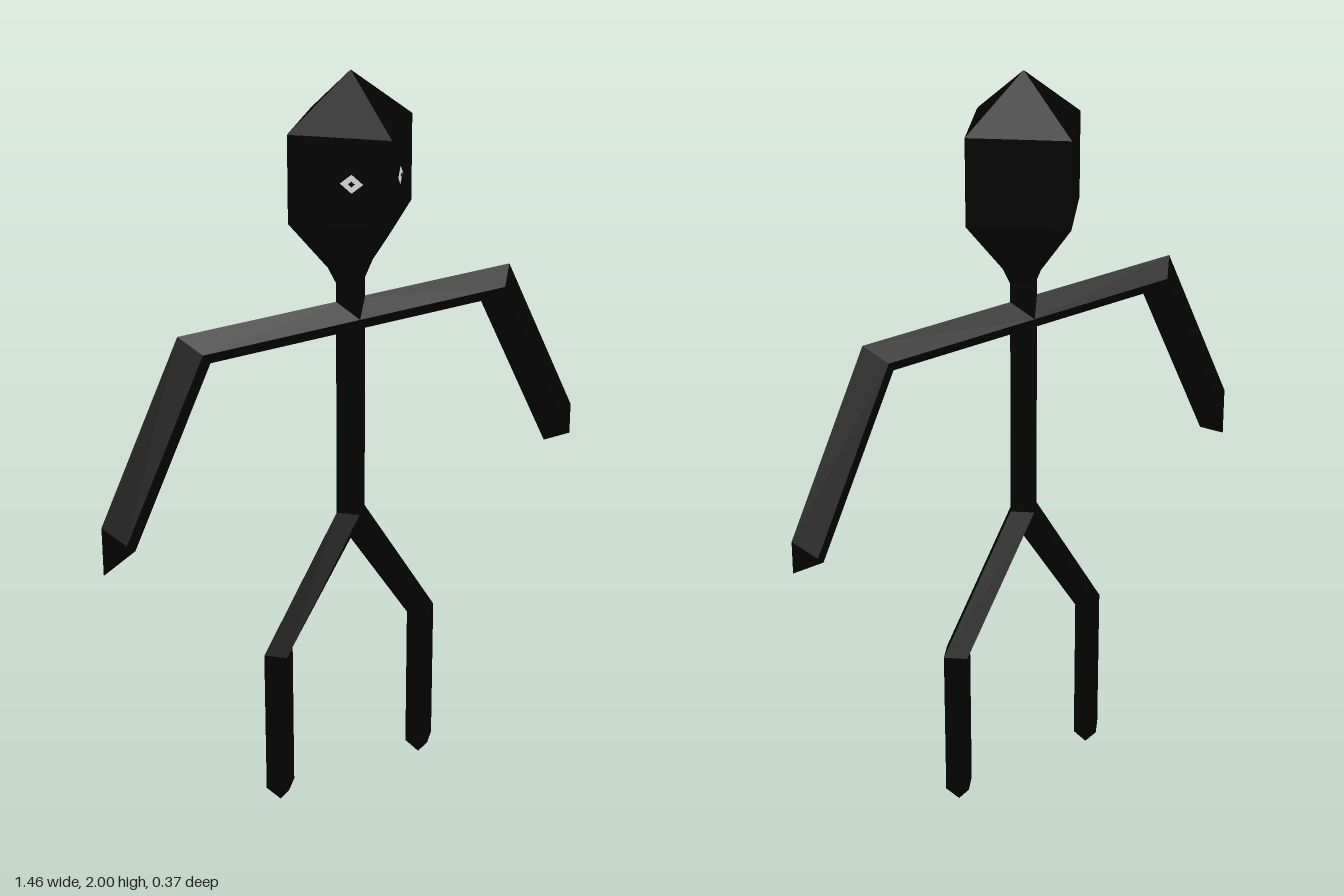
import * as THREE from 'three';

const R = 0.044; // limb half-width

// Diamond cross-section: outer and inner corner in the xy plane, front and back corners at z = +-r
function ring(ox, oy, ix, iy, r = R, mx = (ox + ix) / 2, my = (oy + iy) / 2) {
  return [[ox, oy, 0], [mx, my, r], [ix, iy, 0], [mx, my, -r]];
}
const level = (cx, y, r, z = r) => ring(cx + r, y, cx - r, y, z);
const tip = (x, y) => ring(x, y, x, y, 0);

// Joins successive cross-sections with flat faces; side = -1 mirrors in x
function skin(name, rings, material, side = 1) {
  const pos = [];
  const tri = (a, b, c) => {
    if (a.join() === b.join() || b.join() === c.join() || a.join() === c.join()) return;
    for (const p of side > 0 ? [a, b, c] : [a, c, b]) pos.push(p[0] * side, p[1], p[2]);
  };
  for (let k = 0; k < rings.length - 1; k++) {
    for (let i = 0; i < 4; i++) {
      const j = (i + 1) % 4, a = rings[k], b = rings[k + 1];
      tri(a[i], a[j], b[j]);
      tri(a[i], b[j], b[i]);
    }
  }
  const geo = new THREE.BufferGeometry();
  geo.setAttribute('position', new THREE.Float32BufferAttribute(pos, 3));
  geo.computeVertexNormals();
  const mesh = new THREE.Mesh(geo, material);
  mesh.name = name;
  return mesh;
}

export function createModel() {
  const black = new THREE.MeshStandardMaterial({ color: 0x030303, flatShading: true });
  black.name = 'body black';
  const white = new THREE.MeshStandardMaterial({ color: 0xffffff });
  white.name = 'eye white';

  const model = new THREE.Group();
  model.name = 'stickFigure';

  // Head, neck and spine
  model.add(skin('head', [
    tip(0, 2), level(0, 1.865, 0.183), level(0, 1.64, 0.183), level(0, 1.505, 0.068), level(0, 1.46, R),
  ], black));
  model.add(skin('spine', [level(0, 1.46, R), level(0, 0.82, R)], black));

  for (const side of [1, -1]) {
    const prefix = side > 0 ? 'left' : 'right';

    // Arm: shoulder, elbow, wrist, slanted hand tip
    model.add(skin(prefix + 'Arm', [
      ring(0, 1.41, 0, 1.322),
      ring(0.5, 1.41, 0.41, 1.322),
      ring(0.728, 0.955, 0.638, 0.868),
      tip(0.728, side > 0 ? 0.868 : 0.824),
    ], black, side));

    // Leg: hip, knee, ankle, pointed foot
    model.add(skin(prefix + 'Leg', [
      ring(R, 0.82, 0, 0.735, R, 0, 0.82),
      level(0.228, 0.46, R),
      level(0.228, 0.05, R),
      tip(0.228, 0),
    ], black, side));

    // Eye: thin diamond with a small dark pupil, lying on the head's front facet
    const eye = new THREE.Group();
    eye.name = prefix + 'Eye';
    for (const [name, size, lift, mat] of [['eyeWhite', 1, 0.002, white], ['pupil', 0.3, 0.004, black]]) {
      const plate = new THREE.Mesh(new THREE.CircleGeometry(1, 4), mat);
      plate.name = name;
      plate.scale.set(0.029 * size, 0.024 * size, 1);
      plate.position.z = lift;
      eye.add(plate);
    }
    eye.position.set(side * 0.07, 1.752, 0.113);
    eye.rotation.y = side * Math.PI / 4;
    model.add(eye);
  }
  return model;
}
